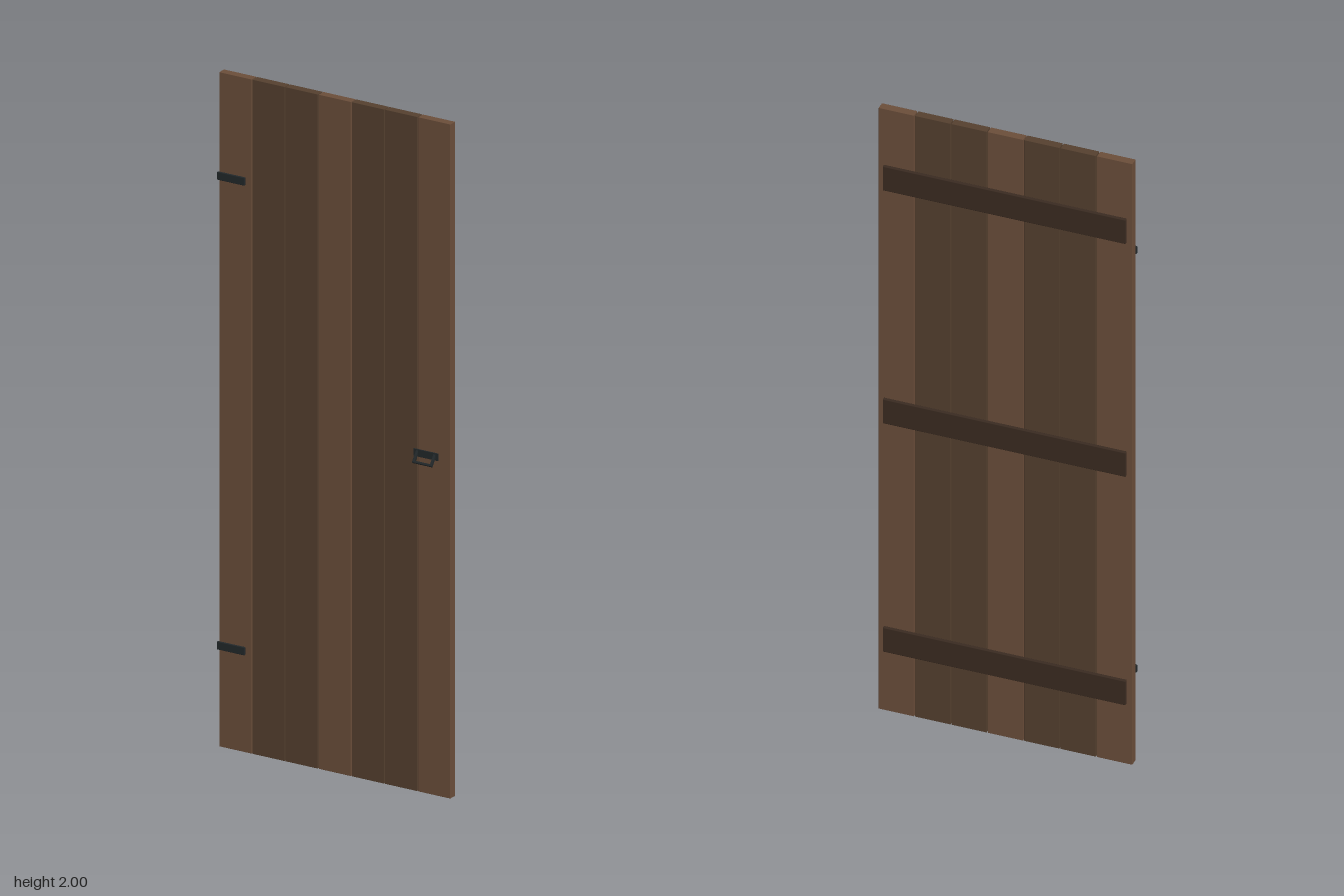
import * as THREE from 'three';
import { RoundedBoxGeometry } from 'three/addons/geometries/RoundedBoxGeometry.js';

const mat = (color) => new THREE.MeshStandardMaterial({ color });

export function createModel() {
  const door = new THREE.Group();
  door.name = 'plankDoor';
  const lightWood = mat(0x6b4e3a), darkWood = mat(0x55402f);
  const braceWood = mat(0x3a2b21), iron = mat(0x22282a);

  // Box given by its centre and size, with a small bevel
  function block(name, material, [x, y, z], [w, h, d], bevel, parent = door) {
    const mesh = new THREE.Mesh(new RoundedBoxGeometry(w, h, d, 1, bevel), material);
    mesh.position.set(x, y, z);
    mesh.name = name;
    parent.add(mesh);
    return mesh;
  }

  // Seven upright planks with narrow gaps; every third one is lighter
  const width = 0.1055, pitch = 0.1084;
  for (let i = 0; i < 7; i++) {
    block('plank' + (i + 1), i % 3 ? darkWood : lightWood,
      [(i - 3) * pitch, 1, -0.0085], [width, 2, 0.025], 0.001);
  }

  // Three cross braces on the back
  ['lowerBrace', 'middleBrace', 'upperBrace'].forEach((name, i) =>
    block(name, braceWood, [0, [0.24, 1, 1.775][i], -0.026], [0.724, 0.08, 0.011], 0.002));

  // Hinge straps on the front, right edge
  block('lowerHinge', iron, [-0.335, 0.302, 0.01], [0.09, 0.024, 0.007], 0.002);
  block('upperHinge', iron, [-0.335, 1.695, 0.01], [0.09, 0.024, 0.007], 0.002);

  // Pull handle: mounting plate and a bail hanging outward and down
  const handle = new THREE.Group();
  handle.name = 'handle';
  door.add(handle);
  block('handlePlate', iron, [0.2995, 1.005, 0.0055], [0.081, 0.022, 0.004], 0.001, handle);
  const bail = new THREE.Group();
  bail.name = 'handleBail';
  bail.position.set(0.3, 1.01, 0.006);
  bail.rotation.x = 0.95;
  handle.add(bail);
  for (const side of [-1, 1]) {
    block(side < 0 ? 'rightArm' : 'leftArm', iron,
      [side * 0.0285, 0, 0.016], [0.007, 0.008, 0.034], 0.001, bail);
  }
  block('grip', iron, [0, 0, 0.032], [0.064, 0.009, 0.007], 0.002, bail);

  return door;
}
